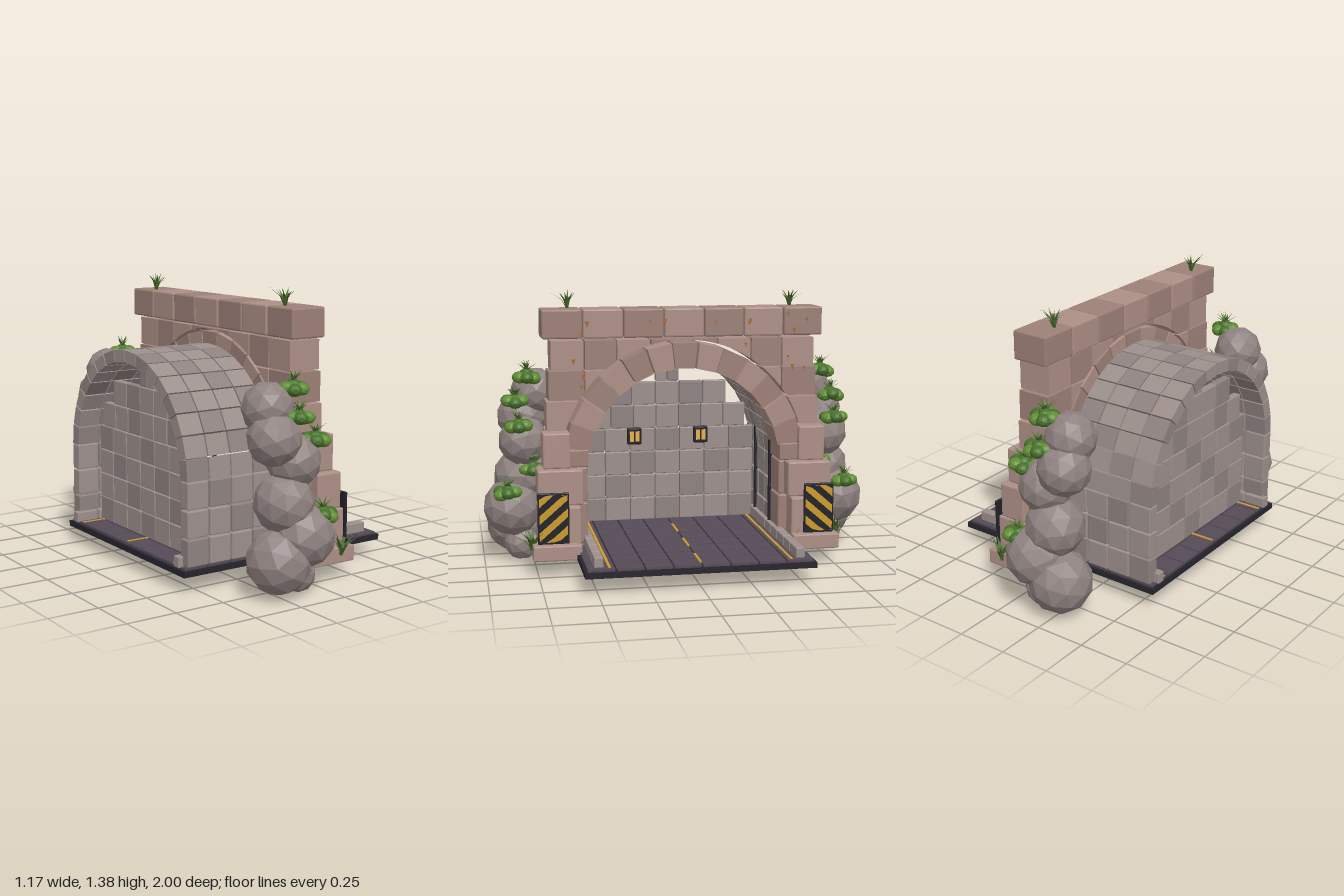
import * as THREE from 'three';
import { RoundedBoxGeometry } from 'three/addons/geometries/RoundedBoxGeometry.js';

const mat = (color, side = THREE.FrontSide) =>
  new THREE.MeshStandardMaterial({ color, flatShading: true, side });
const M = {
  stone: mat(0xac8f86), stoneDark: mat(0x9c8077), lining: mat(0x9c8f8c), liningDark: mat(0x8e8280),
  slab: mat(0x26252d), tile: mat(0x564b58), yellow: mat(0xcc9a2c), dark: mat(0x22212a),
  rock: mat(0x8f8280), leaf: mat(0x5f8c33), leafDark: mat(0x47702a), rust: mat(0xa8692f),
  lamp: mat(0xe8b04a), grass: mat(0x4c6b2e, THREE.DoubleSide),
};
const CY = 0.52;      // springing height of all arches
const GAP = 0.007;    // joint between blocks

let seed = 7;
const rnd = () => (seed = (seed * 16807) % 2147483647) / 2147483647;

export function createModel() {
  const model = new THREE.Group();
  const group = (name) => {
    const g = new THREE.Group();
    g.name = name;
    model.add(g);
    return g;
  };
  const add = (parent, name, geo, material, x = 0, y = 0, z = 0) => {
    const m = new THREE.Mesh(geo, material);
    m.name = name;
    m.position.set(x, y, z);
    parent.add(m);
    return m;
  };
  // box given by its limits; bevel > 0 softens the edges
  const block = (parent, name, material, [x0, x1], [y0, y1], [z0, z1], bevel = 0) => {
    const s = [Math.abs(x1 - x0), Math.abs(y1 - y0), Math.abs(z1 - z0)];
    const geo = bevel ? new RoundedBoxGeometry(...s, 1, bevel) : new THREE.BoxGeometry(...s);
    return add(parent, name, geo, material, (x0 + x1) / 2, (y0 + y1) / 2, (z0 + z1) / 2);
  };
  // outline of [z, y] points extruded along x
  const prism = (parent, name, material, pts, x0, x1) => {
    const shape = new THREE.Shape(pts.map(([z, y]) => new THREE.Vector2(-z, y)));
    const geo = new THREE.ExtrudeGeometry(shape, { depth: x1 - x0, bevelEnabled: false });
    return add(parent, name, geo.rotateY(Math.PI / 2), material, x0);
  };
  // one arch stone between two radii and two angles
  const wedge = (parent, name, material, r0, r1, a0, a1, x0, x1) => {
    const p = (r, a, d) => [Math.cos(a + d / r) * r, CY + Math.sin(a + d / r) * r];
    const g = GAP / 2;
    prism(parent, name, material, [p(r0, a0, g), p(r1, a0, g), p(r1, a1, -g), p(r0, a1, -g)], x0, x1);
  };

  // road slab, paving, markings and kerbs
  const road = group('road');
  block(road, 'slab', M.slab, [-0.585, 0.585], [0.08, 0.108], [-0.56, 0.56]);
  for (let i = 0; i < 9; i++) {
    const x = -0.575 + i * 0.1278;
    for (let j = 0; j < 8; j++) {
      const z = -0.55 + j * 0.1375;
      block(road, 'pavingTile', M.tile, [x + 0.004, x + 0.124], [0.1, 0.12], [z + 0.004, z + 0.133]);
    }
  }
  for (const s of [-1, 1]) {
    block(road, 'edgeLine', M.yellow, [-0.57, 0.55], [0.115, 0.123], [s * 0.434, s * 0.447]);
    for (let i = 0; i < 9; i++) {
      const x = -0.585 + i * 0.125;
      block(road, 'kerbStone', M.lining, [x, x + 0.118], [0.115, 0.168], [s * 0.468, s * 0.512], 0.004);
    }
  }
  for (const x of [-0.56, -0.25, 0.06, 0.37])
    block(road, 'centreDash', M.yellow, [x, x + 0.15], [0.115, 0.123], [-0.006, 0.006]);

  // vaulted tunnel lining
  const tunnel = group('tunnelVault');
  for (let c = 0; c < 4; c++) {
    const x0 = -0.56 + c * 0.1235, x1 = x0 + 0.1235 - GAP;
    for (let i = 0; i < 16; i++)
      wedge(tunnel, 'vaultStone', (i + c) % 3 ? M.lining : M.liningDark, 0.49, 0.55,
        i * Math.PI / 16, (i + 1) * Math.PI / 16, x0, x1);
    for (const s of [-1, 1])
      for (let r = 0; r < 3; r++) {
        const y = 0.115 + r * 0.135;
        block(tunnel, 'sideStone', (r + c) % 3 ? M.lining : M.liningDark,
          [x0, x1], [y + GAP, y + 0.135], [s * 0.49, s * 0.553], 0.005);
      }
  }
  for (const s of [-1, 1])
    for (const x of [-0.37, -0.06])
      block(tunnel, 'wallPost', M.dark, [x - 0.008, x + 0.008], [0.12, 0.62], [s * 0.478, s * 0.494]);

  // stepped wall closing the tunnel, with two lit windows
  const wall = group('endWall');
  [[7, 0.95], [7, 0.95], [7, 0.95], [7, 0.95], [7, 0.86], [5, 0.65], [2, 0.13]].forEach(([n, w], r) => {
    const y = 0.118 + r * 0.1265;
    for (let i = 0; i < n; i++) {
      const z = -w / 2 + i * w / n;
      block(wall, 'wallStone', (i + r) % 3 ? M.lining : M.liningDark,
        [-0.44, -0.40], [y, y + 0.1225], [z + 0.002, z + w / n - 0.002], 0.004);
    }
  });
  for (const s of [-1, 1]) {
    block(wall, 'windowFrame', M.dark, [-0.41, -0.385], [0.535, 0.625], [s * 0.143, s * 0.22], 0.006);
    for (const d of [-0.015, 0.015])
      block(wall, 'windowPane', M.lamp, [-0.39, -0.381], [0.552, 0.608],
        [s * 0.1815 + d - 0.011, s * 0.1815 + d + 0.011]);
  }

  // portal arch ring
  const portal = group('portal');
  const a0 = 0.16, da = (Math.PI - 2 * a0) / 13;
  for (let i = 0; i < 13; i++)
    wedge(portal, 'archStone', i % 2 ? M.stone : M.stoneDark, 0.485, 0.612,
      a0 + i * da, a0 + (i + 1) * da, -0.07, 0.125 + (i % 2) * 0.015);

  // spandrel stones, trimmed below by the arch curve
  const R = 0.624, columns = [0, 0.17, 0.34, 0.5, 0.665];
  [[0.70, 0.85], [0.85, 1.0], [1.0, 1.15]].forEach(([y0, y1], r) => {
    for (const s of [-1, 1])
      for (let c = 0; c < 4; c++) {
        const za = columns[c] + GAP / 2, zb = columns[c + 1] + (c === 3 ? 0.012 * (2 - r) : -GAP / 2);
        const floor = (z) => Math.max(y0 + GAP / 2, z < R ? CY + Math.sqrt(R * R - z * z) : 0);
        const top = y1 - GAP / 2;
        if (floor(zb) > top - 0.01) continue;
        // start where the curve drops below the top of the row
        const start = Math.max(za, Math.sqrt(Math.max(0, R * R - (top - CY) ** 2)));
        const pts = [[s * zb, top]];
        if (floor(start) < top - 0.002) pts.push([s * start, top]);
        for (let k = 0; k <= 10; k++) {
          const z = start + (zb - start) * k / 10;
          pts.push([s * z, floor(z)]);
        }
        prism(portal, 'spandrelStone', (c + r) % 2 ? M.stone : M.stoneDark, pts, -0.07, 0.10);
      }
  });

  // lintel of seven stones
  for (let i = 0; i < 7; i++) {
    const z = -0.71 + i * 1.42 / 7;
    block(portal, 'lintelStone', i % 2 ? M.stone : M.stoneDark, [-0.09, 0.10], [1.157, 1.30],
      [z + 0.002, z + 0.2], 0.008);
  }

  // piers, stepped buttresses, plinths and striped boards
  const rows = [[0.09, 0.34, 0.20, 0.745], [0.343, 0.52, 0.18, 0.745], [0.523, 0.70, 0.155, 0.715]];
  for (const s of [-1, 1]) {
    rows.forEach(([y0, y1, x, z], i) => {
      block(portal, 'pierStone', M.stoneDark, [-0.07, 0.10], [y0, y1 - 0.004],
        [s * (i === 2 ? 0.6 : 0.49), s * 0.695], 0.007);
      block(portal, 'buttressStone', M.stone, [0.04, x], [y0, y1],
        [s * (i === 2 ? 0.58 : 0.535 - i * 0.015), s * z], 0.008);
    });
    // impost under the arch ring
    block(portal, 'impostStone', M.stoneDark, [-0.07, 0.13], [0.523, 0.61], [s * 0.487, s * 0.6], 0.006);
    block(portal, 'plinth', M.stone, [0, 0.245], [0.08, 0.158], [s * 0.535, s * 0.775], 0.007);

    block(portal, 'warningBoard', M.dark, [0.203, 0.217], [0.16, 0.415], [s * 0.595, s * 0.75], 0.004);
    for (let k = 0; k < 4; k++) {
      // slanted stripe clipped to the board
      const lo = 0.09 + k * 0.085, clip = (y) => Math.min(0.405, Math.max(0.17, y));
      const edge = (base) => [0, 0.25, 0.5, 0.75, 1].map((t) => [s * (0.742 - t * 0.139), clip(base + t * 0.12)]);
      prism(portal, 'warningStripe', M.yellow, [...edge(lo), ...edge(lo + 0.042).reverse()], 0.214, 0.22);
    }
  }

  // rust chips on the portal face
  for (let i = 0; i < 46; i++) {
    const z = (rnd() - 0.5) * 1.26, y = 0.9 + rnd() * 0.37, w = 0.006 + rnd() * 0.006;
    if (Math.hypot(z, y - CY) < 0.65 || (y > 1.12 && y < 1.18)) continue;
    prism(portal, 'rustChip', M.rust, [[z - w, y + w], [z + w, y + w], [z, y - 2 * w]], 0.099, 0.103);
  }

  // grass tuft: ring of tapered blades bending outward
  const tuft = (parent, x, y, z, size, n = 11) => {
    const pos = [];
    for (let i = 0; i < n; i++) {
      const a = i * 2.4, reach = size * (0.25 + 0.75 * rnd()), h = size * (0.7 + 0.4 * rnd());
      const c = Math.cos(a), s = Math.sin(a), w = size * 0.1;
      const at = (t, side) => [c * reach * t * t - s * w * side, h * t, s * reach * t * t + c * w * side];
      const A = at(0, -1), B = at(0, 1), C = at(0.55, -0.8), D = at(0.55, 0.8), E = at(1, 0);
      pos.push(...A, ...B, ...D, ...A, ...D, ...C, ...C, ...D, ...E);
    }
    const geo = new THREE.BufferGeometry();
    geo.setAttribute('position', new THREE.Float32BufferAttribute(pos, 3));
    geo.computeVertexNormals();
    add(parent, 'grassTuft', geo, M.grass, x, y, z);
  };

  // boulders, bushes and grass on both flanks
  const boulders = [[-0.25, 0.17, 0.83, 0.155], [-0.13, 0.28, 0.855, 0.15], [-0.2, 0.43, 0.8, 0.145],
    [-0.14, 0.62, 0.79, 0.13], [-0.25, 0.73, 0.79, 0.13], [-0.24, 0.86, 0.725, 0.125], [-0.13, 0.09, 0.81, 0.088]];
  const bushes = [[-0.13, 0.95, 0.77], [-0.14, 0.82, 0.83], [-0.04, 0.71, 0.82], [-0.1, 0.48, 0.75],
    [-0.04, 0.37, 0.88], [-0.06, 0.27, 0.86, 0.6], [-0.08, 0.56, 0.76, 0.6]];
  const rocks = group('boulders'), plants = group('plants');
  for (const s of [-1, 1]) {
    for (const [x, y, z, r] of boulders) {
      const b = add(rocks, 'boulder', new THREE.IcosahedronGeometry(r, 1), M.rock, x, y, s * z);
      b.rotation.set(rnd() * 3, rnd() * 3, rnd() * 3);
    }
    for (const [x, y, z, k = 1] of bushes) {
      for (let i = 0; i < 7; i++) {
        const a = i * 1.047, d = i < 6 ? 0.04 * k : 0;
        const leaf = add(plants, 'bushClump', new THREE.IcosahedronGeometry(0.038 * k, 1),
          i % 2 ? M.leaf : M.leafDark, x + d * Math.cos(a), y + (i < 6 ? rnd() * 0.02 - 0.01 : 0.012), s * z + d * Math.sin(a));
        leaf.scale.y = 0.8;
      }
      if (k === 1) tuft(plants, x, y + 0.015, s * z, 0.065, 14);
    }
    tuft(plants, -0.03, 1.295, s * 0.57, 0.085);
    tuft(plants, 0.16, 0.12, s * 0.775, 0.11);
    tuft(plants, 0.18, 0.12, s * 0.55, 0.07, 7);
  }
  return model;
}
